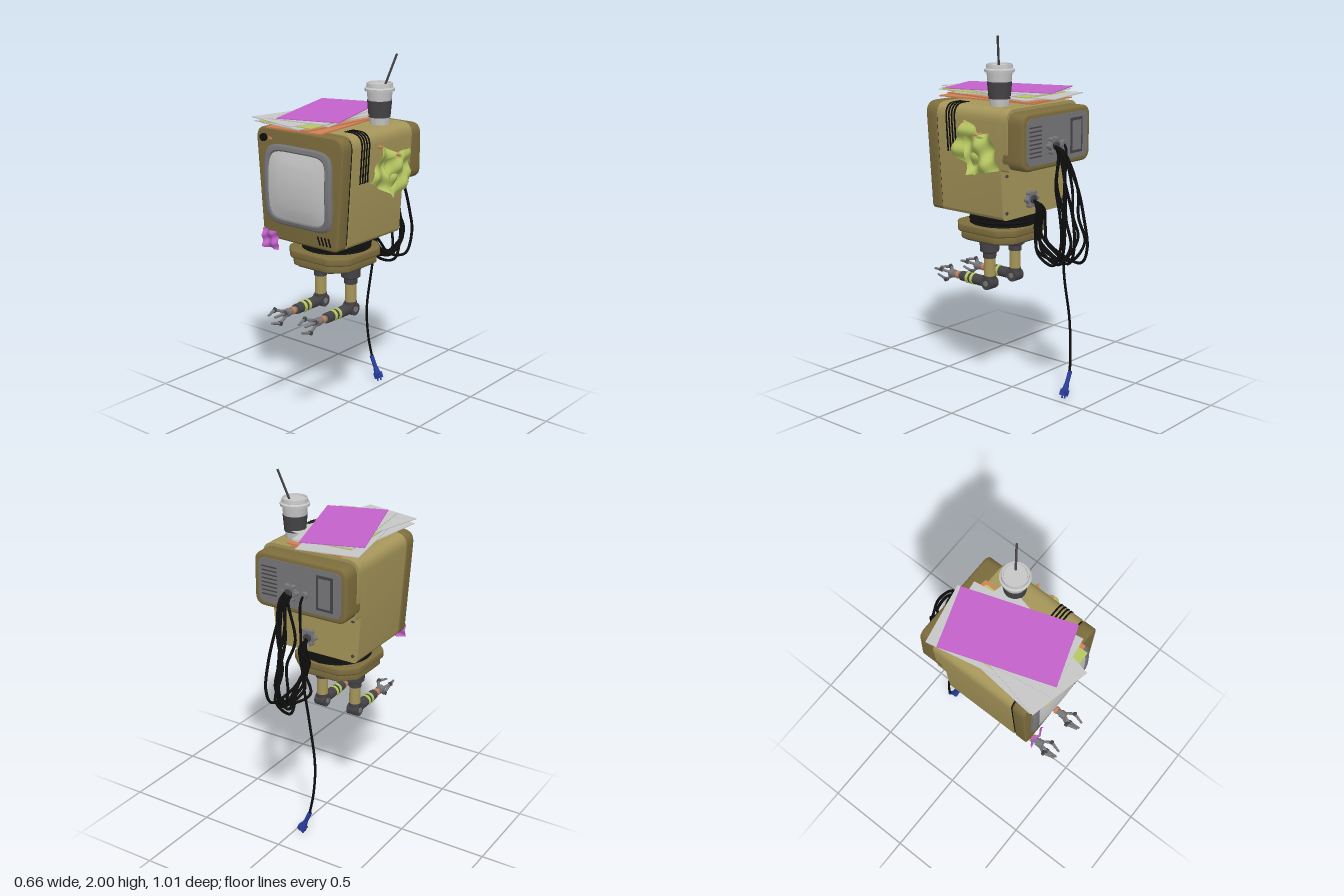
import * as THREE from 'three';
import { toCreasedNormals } from 'three/addons/utils/BufferGeometryUtils.js';
import { ParametricGeometry } from 'three/addons/geometries/ParametricGeometry.js';

const V = (x, y, z) => new THREE.Vector3(x, y, z);
const paint = (name, color, side = THREE.FrontSide) => {
  const m = new THREE.MeshStandardMaterial({ color, side });
  m.name = name;
  return m;
};

// Polygon of [x, y, cornerRadius] points
function roundedShape(pts) {
  const s = new THREE.Shape(), n = pts.length;
  pts.forEach(([x, y, r], i) => {
    const toward = ([px, py]) => {
      const d = Math.hypot(px - x, py - y);
      return [x + (px - x) * r / d, y + (py - y) * r / d];
    };
    const a = toward(pts[(i + n - 1) % n]), b = toward(pts[(i + 1) % n]);
    if (i) s.lineTo(...a); else s.moveTo(...a);
    s.quadraticCurveTo(x, y, ...b);
  });
  s.closePath();
  return s;
}

// Shape pushed from z0 to z1 with softened edges inside its outline
function slab(pts, z0, z1, b = 0) {
  const g = new THREE.ExtrudeGeometry(roundedShape(pts), {
    depth: z1 - z0 - 2 * b, bevelEnabled: b > 0, bevelThickness: b, bevelSize: b,
    bevelOffset: -b, bevelSegments: 3, curveSegments: 8 });
  return toCreasedNormals(g.translate(0, 0, z0 + b), 0.6);
}

const rect = (x0, x1, y0, y1, r) => [[x0, y0, r], [x1, y0, r], [x1, y1, r], [x0, y1, r]];
const lathe = (pts, seg = 32) =>
  toCreasedNormals(new THREE.LatheGeometry(pts.map(p => new THREE.Vector2(...p)), seg), 0.6);

export function createModel() {
  const root = new THREE.Group();
  root.name = 'screenRobot';
  const tan = paint('tanShell', 0xa6965a), olive = paint('oliveTrim', 0x7d6d3d);
  const black = paint('blackRubber', 0x0d0d0d), dark = paint('darkGrey', 0x454346);
  const grey = paint('midGrey', 0x77777a, THREE.DoubleSide);
  const pale = paint('paleGrey', 0xc6c6c6, THREE.DoubleSide);
  const pink = paint('magentaPaper', 0xc362cb, THREE.DoubleSide);
  const lime = paint('limePaper', 0xb7c762, THREE.DoubleSide);
  const blue = paint('bluePlug', 0x2a3d9e), orange = paint('orangeAccent', 0xd08054);

  const add = (name, geo, mat, x = 0, y = 0, z = 0, parent = root) => {
    const m = new THREE.Mesh(geo, mat);
    m.name = name;
    m.position.set(x, y, z);
    parent.add(m);
    return m;
  };
  const box = (name, w, h, d, mat, x, y, z) => add(name, new THREE.BoxGeometry(w, h, d), mat, x, y, z);
  const rod = (name, a, b, r, mat, parent = root, r2 = r) => {
    const m = add(name, new THREE.CylinderGeometry(r2, r, a.distanceTo(b), 16), mat, 0, 0, 0, parent);
    m.position.copy(a).lerp(b, 0.5);
    m.quaternion.setFromUnitVectors(V(0, 1, 0), b.clone().sub(a).normalize());
    return m;
  };

  // Head: tapered cabinet, narrower at the bottom
  const cx = -0.02, half = y => 0.257 + (y - 1.03) / 0.6 * 0.043;
  const cabinet = (inset, y0, r0) => [
    [cx - half(y0) + inset, y0 + inset, r0], [cx + half(y0) - inset, y0 + inset, r0],
    [cx + 0.3 - inset, 1.63 - inset, 0.075], [cx - 0.3 + inset, 1.63 - inset, 0.075]];
  add('cabinetShell', slab(cabinet(0, 1.03, 0.03), -0.14, 0.296), tan);
  add('cabinetUpperBack', slab(cabinet(0.001, 1.3, 0.01), -0.195, -0.1), tan);
  add('seam', slab(cabinet(0.006, 1.03, 0.03), 0.29, 0.31), black);
  add('frontBezel', slab(cabinet(0, 1.03, 0.03), 0.302, 0.38, 0.012), olive);
  add('backHousing', slab(rect(-0.302, 0.262, 1.31, 1.612, 0.06), -0.295, -0.15, 0.014), olive);

  // Side vents that wrap over the top corner
  for (let i = 0; i < 4; i++) {
    const z = 0.163 + i * 0.02;
    add('sideVent', slab([[0.16, 1.37, 0.001], [0.265, 1.37, 0.001], [0.283, 1.633, 0.075],
      [0.16, 1.633, 0.001]], z, z + 0.009), black);
  }

  // Screen: bulging rounded frame and glass
  const sy = 1.335;
  const bulge = (x, y) => 0.385 + 0.035 * (1 - Math.min(1, (y / 0.22) ** 2)) * (1 - 0.5 * (x / 0.235) ** 2);
  const screen = profile => new ParametricGeometry((u, v, t) => {
    const a = u * Math.PI * 2, c = Math.cos(a), s = Math.sin(a);
    const k = (Math.abs(c) ** 6 + Math.abs(s) ** 6) ** (-1 / 6);
    const i = Math.min(profile.length - 2, Math.floor(v * (profile.length - 1)));
    const f = v * (profile.length - 1) - i;
    const r = THREE.MathUtils.lerp(profile[i][0], profile[i + 1][0], f);
    const h = THREE.MathUtils.lerp(profile[i][1], profile[i + 1][1], f);
    const x = 0.23 * k * c * r, y = 0.216 * k * s * r;
    t.set(cx + x, sy + y, bulge(x, y) + h);
  }, 72, (profile.length - 1) * 4);
  add('screenFrame', screen([[0.82, -0.012], [0.86, 0.002], [0.95, 0.002], [1, -0.004], [1, -0.05]]), grey);
  add('screenGlass', screen([[0.001, 0.001], [0.5, 0], [0.84, -0.005]]), pale);

  // Front controls
  rod('knob', V(-0.257, 1.573, 0.37), V(-0.257, 1.573, 0.395), 0.021, black);
  box('indicator', 0.022, 0.012, 0.01, orange, -0.215, 1.573, 0.381);
  for (let i = 0; i < 4; i++)
    box('speakerSlit', 0.009, 0.048, 0.006, black, 0.115 + i * 0.024, 1.077, 0.379).rotation.z = 0.35;

  // Rear panel: vents, hatch, sockets
  add('rearPanel', slab(rect(-0.272, 0.232, 1.338, 1.584, 0.04), -0.299, -0.29), grey);
  for (let i = 0; i < 8; i++) box('rearVent', 0.095, 0.007, 0.006, dark, 0.165, 1.385 + i * 0.022, -0.299);
  box('hatchFrame', 0.1, 0.19, 0.008, dark, -0.175, 1.46, -0.299);
  box('hatchDoor', 0.072, 0.16, 0.008, grey, -0.175, 1.46, -0.302);
  const socket = (x, y, z, r) => {
    const g = new THREE.Group();
    g.name = 'cableSocket';
    root.add(g);
    rod('socketBase', V(x, y, z + 0.01), V(x, y, z - 0.022), r, grey, g);
    rod('socketCore', V(x, y, z), V(x, y, z - 0.035), r * 0.6, dark, g);
    for (let i = 0; i < 6; i++) {
      const a = i * Math.PI / 3, px = x + Math.cos(a) * r, py = y + Math.sin(a) * r;
      rod('socketLobe', V(px, py, z + 0.008), V(px, py, z - 0.028), r * 0.32, grey, g);
    }
  };
  socket(0.03, 1.43, -0.3, 0.038);
  socket(0.02, 1.12, -0.14, 0.038);
  rod('smallSocket', V(-0.055, 1.43, -0.29), V(-0.055, 1.43, -0.318), 0.02, grey);
  for (const x of [-0.25, 0.21]) for (const y of [1.07, 1.27])
    rod('bolt', V(x, y, -0.13), V(x, y, -0.146), 0.009, dark);

  // Cables
  const cable = (name, pts, r = 0.008) => add(name, new THREE.TubeGeometry(
    new THREE.CatmullRomCurve3(pts.map(p => V(...p))), 70, r, 8), black);
  for (let i = 0; i < 7; i++) {
    const t = i / 6, w = 0.02 * Math.sin(i * 2.4), x = 0.025 + 0.06 * Math.sin(i * 1.9 + 0.6);
    cable('loopCable', [
      [0.03 + w * 0.7, 1.43 + w * 0.5, -0.315], [0.03 + w, 1.4, -0.345 - t * 0.03],
      [x * 0.8 + w, 1.22 + w, -0.34 - t * 0.11], [x - w, 1.06, -0.38 - t * 0.09],
      [x, 0.92 - w, -0.39 - t * 0.12], [x - 2 * w, 0.79 + 0.03 * Math.abs(Math.sin(i)), -0.34 - t * 0.09],
      [x * 0.6 + w, 0.83 + t * 0.05 + w, -0.21 - t * 0.05], [0.01 - w, 0.96 + w, -0.175 - t * 0.05],
      [0.02 - w, 1.08, -0.2 - t * 0.02], [0.02 + w * 0.6, 1.12, -0.16]]);
  }
  cable('powerCable', [[-0.055, 1.43, -0.31], [-0.05, 1.4, -0.33], [-0.045, 1.2, -0.325], [-0.05, 0.95, -0.315],
    [-0.08, 0.7, -0.302], [-0.12, 0.45, -0.31], [-0.118, 0.28, -0.322], [-0.098, 0.14, -0.335]], 0.007);
  rod('plugSleeve', V(-0.102, 0.15, -0.335), V(-0.072, 0.083, -0.335), 0.012, blue);
  rod('plugBody', V(-0.073, 0.085, -0.335), V(-0.055, 0.045, -0.335), 0.013, blue, root, 0.02);
  box('plugHead', 0.045, 0.034, 0.03, blue, -0.05, 0.037, -0.335).rotation.z = 0.42;
  for (const s of [-1, 1])
    rod('plugProng', V(-0.048 + s * 0.013, 0.032 + s * 0.006, -0.335), V(-0.041 + s * 0.011, 0.006 + s * 0.005, -0.335), 0.005, blue);

  // Ribbed neck and chamfered base
  const ribs = [[0, 0.94]];
  for (let i = 0; i < 4; i++) ribs.push([0.172, 0.945 + i * 0.023], [0.193, 0.956 + i * 0.023]);
  add('ribbedNeck', lathe([...ribs, [0.17, 1.035], [0, 1.035]], 40), black, cx, 0, 0.08);
  const plate = (name, w, d, y0, y1, mat, b = 0.006) => {
    const c = 0.08, p = [[w - c, -d], [w, c - d], [w, d - c], [w - c, d], [c - w, d], [-w, d - c], [-w, c - d], [c - w, -d]];
    add(name, slab(p.map(q => [...q, 0.02]), y0, y1, b).rotateX(-Math.PI / 2), mat, cx, 0, 0.095);
  };
  plate('baseRim', 0.212, 0.213, 0.912, 0.958, olive, 0.01);
  plate('baseSkirt', 0.198, 0.2, 0.872, 0.914, olive);
  plate('baseUnderside', 0.185, 0.187, 0.864, 0.88, dark, 0.003);

  // Arms with three-fingered grippers
  for (const s of [-1, 1]) {
    const arm = new THREE.Group();
    arm.name = s < 0 ? 'rightArm' : 'leftArm';
    arm.position.set(cx + s * 0.108, 0.62, 0.09);
    root.add(arm);
    add('shoulder', lathe([[0, 0.145], [0.036, 0.145], [0.038, 0.175], [0.053, 0.185], [0.056, 0.25], [0, 0.25]], 24), dark, 0, 0, 0, arm);
    add('upperArm', new THREE.CylinderGeometry(0.032, 0.032, 0.12, 24), tan, 0, 0.095, 0, arm);
    rod('elbowCap', V(0, 0.02, 0), V(0, 0.042, 0), 0.034, dark, arm);
    rod('elbow', V(-0.034, 0, 0), V(0.034, 0, 0), 0.036, dark, arm);
    rod('elbowPin', V(-0.038, 0, 0), V(0.038, 0, 0), 0.016, grey, arm);
    rod('forearmNeck', V(0, 0, 0), V(0, 0, 0.06), 0.024, dark, arm);
    rod('forearm', V(0, 0, 0.045), V(0, 0, 0.21), 0.031, dark, arm, 0.028);
    for (const z of [0.11, 0.145]) rod('armBand', V(0, 0, z), V(0, 0, z + 0.017), 0.033, lime, arm);
    rod('wrist', V(0, 0, 0.2), V(0, 0, 0.285), 0.018, grey, arm);
    rod('wristRing', V(0, 0, 0.228), V(0, 0, 0.245), 0.022, orange, arm);
    rod('palm', V(0, 0, 0.265), V(0, 0, 0.3), 0.023, grey, arm);
    for (let i = 0; i < 3; i++) {
      const finger = new THREE.Group();
      finger.name = 'finger';
      finger.rotation.z = Math.PI + i * Math.PI * 2 / 3;
      arm.add(finger);
      rod('fingerBase', V(0, 0.014, 0.285), V(0, 0.045, 0.335), 0.008, grey, finger);
      rod('knuckle', V(-0.011, 0.045, 0.335), V(0.011, 0.045, 0.335), 0.011, dark, finger);
      rod('fingerTip', V(0, 0.045, 0.335), V(0, 0.026, 0.4), 0.009, grey, finger, 0.006);
    }
  }

  // Loose sheets: [material, x, z, turn]
  [[orange, -0.052, 0.11, 0.105], [orange, -0.075, 0.09, -0.08], [pale, -0.1, 0.115, -0.1],
    [pale, -0.1, 0.044, 0.2], [lime, -0.066, 0.133, 0.04], [pale, -0.07, 0.157, -0.22],
    [pale, -0.058, 0.097, 0.15], [pink, -0.062, 0.08, 0.328]].forEach(([mat, x, z, turn], i) => {
    const p = box(i === 7 ? 'topFolder' : 'looseSheet', 0.342, i < 2 ? 0.007 : 0.004, 0.618, mat, x, 1.642 + i * 0.0075, z);
    p.rotation.y = turn;
  });

  // Takeaway cup with sleeve, lid and straw
  add('cup', lathe([[0, 1.625], [0.05, 1.625], [0.069, 1.815], [0, 1.815]]), pale, 0.165, 0, -0.054);
  add('cupSleeve', lathe([[0.054, 1.668], [0.058, 1.668], [0.066, 1.757], [0.06, 1.757]]), dark, 0.165, 0, -0.054);
  add('cupLid', lathe([[0.068, 1.805], [0.079, 1.806], [0.08, 1.82], [0.071, 1.826], [0.068, 1.848],
    [0.06, 1.848], [0.058, 1.84], [0, 1.84]]), pale, 0.165, 0, -0.054);
  rod('straw', V(0.188, 1.835, -0.07), V(0.237, 1.998, -0.105), 0.006, dark);

  // Crumpled sticky notes
  const note = (name, size, mat, x, y, z, phase) => add(name, new ParametricGeometry((u, v, t) => {
    const wave = 0.07 * Math.sin(u * 9 + phase + v * 2) + 0.05 * Math.sin(v * 11 - u * 4 + phase);
    t.set((u - 0.5) * size, (v - 0.5) * size, wave * size);
  }, 20, 20), mat, x, y, z);
  const sideNote = (size, x, y, z, turn, phase) => {
    const g = new THREE.Group();
    g.name = 'sideNote';
    g.position.set(x, y, z);
    g.rotation.x = turn;
    root.add(g);
    const n = note('notePaper', size, lime, 0, 0, 0, phase);
    n.rotation.y = Math.PI / 2;
    g.add(n);
  };
  sideNote(0.21, 0.292, 1.415, 0.04, -0.5, 0);
  sideNote(0.2, 0.31, 1.39, -0.04, 0.2, 2);
  rod('notePin', V(0.27, 1.545, 0.09), V(0.3, 1.545, 0.09), 0.007, orange);
  rod('notePin', V(0.27, 1.49, -0.02), V(0.328, 1.49, -0.02), 0.007, orange);
  note('frontNote', 0.105, pink, -0.213, 1.028, 0.398, 1).rotation.set(0.08, 0, -0.04);

  return root;
}
